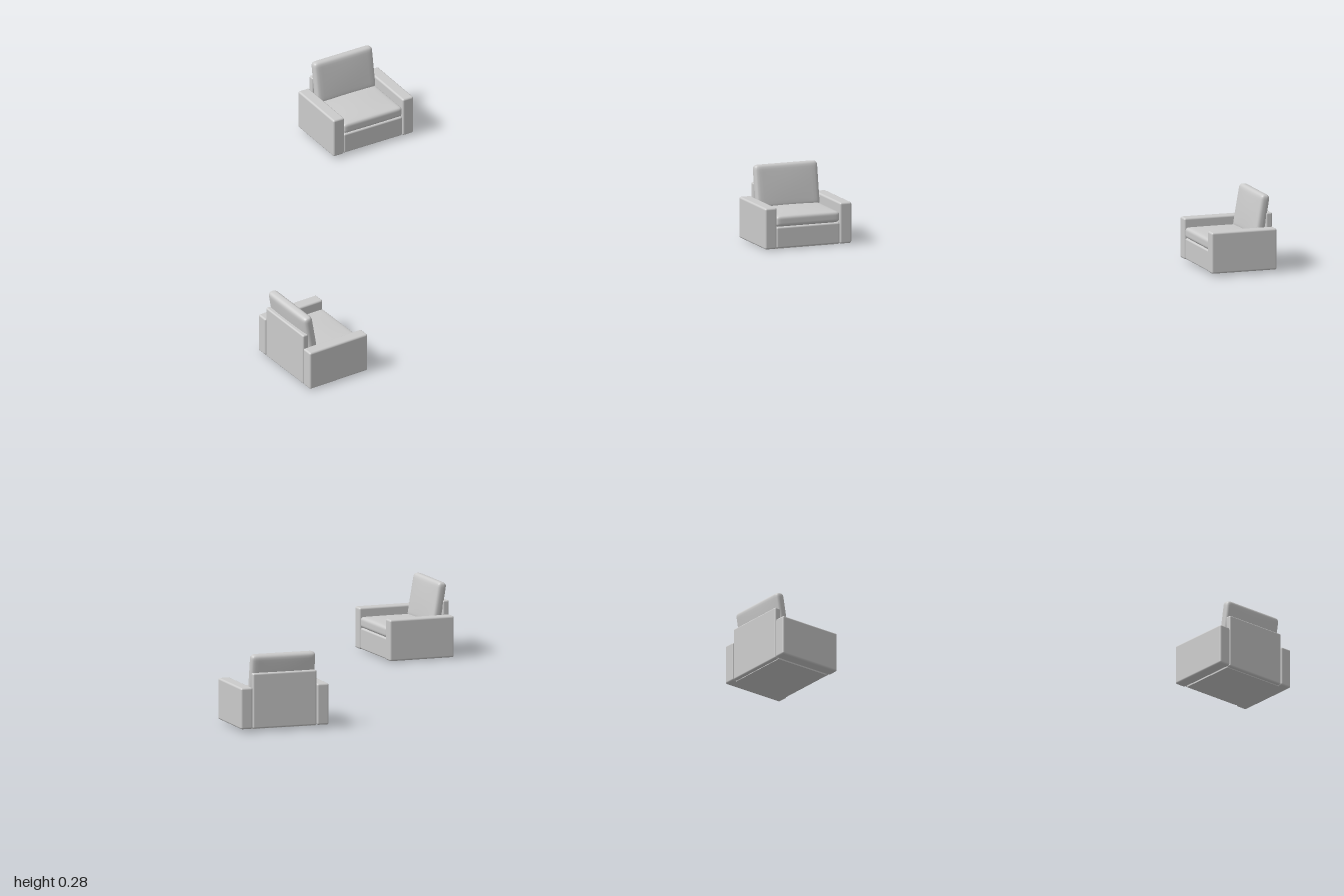
import * as THREE from 'three';
import { RoundedBoxGeometry } from 'three/addons/geometries/RoundedBoxGeometry.js';
import { mergeVertices } from 'three/addons/utils/BufferGeometryUtils.js';

const material = new THREE.MeshStandardMaterial({ color: 0xcccccc });

const WIDTH = 0.34, DEPTH = 0.252, ARM = 0.046;
const INNER = WIDTH - 2 * ARM;

// Soft box with rounded edges; crown bulges the two broad faces along one axis
function cushionGeometry(size, radius, crown, axis) {
  const g = new THREE.BoxGeometry(2, 2, 2, 18, 18, 18);
  g.deleteAttribute('normal');
  g.deleteAttribute('uv');
  const pos = g.attributes.position;
  const half = new THREE.Vector3(...size).multiplyScalar(0.5);
  const inner = half.clone().subScalar(radius);
  const v = new THREE.Vector3(), core = new THREE.Vector3();
  for (let i = 0; i < pos.count; i++) {
    v.fromBufferAttribute(pos, i);
    const u = ['x', 'y', 'z'].map((k) => Math.sin((v[k] * Math.PI) / 2));
    v.set(...u).multiply(half);
    core.copy(v).clamp(inner.clone().negate(), inner);
    const out = v.clone().sub(core);
    if (out.lengthSq() > 1e-12) v.copy(core).add(out.setLength(radius));
    const [a, b] = [0, 1, 2].filter((k) => k !== axis);
    const bulge = crown * (1 - u[a] ** 2) * (1 - u[b] ** 2) * u[axis];
    v.setComponent(axis, v.getComponent(axis) + bulge);
    pos.setXYZ(i, v.x, v.y, v.z);
  }
  const merged = mergeVertices(g, 1e-5);
  merged.computeVertexNormals();
  return merged;
}

function part(parent, name, geometry, x, y, z) {
  const mesh = new THREE.Mesh(geometry, material);
  mesh.name = name;
  mesh.position.set(x, y, z);
  parent.add(mesh);
  return mesh;
}

function createArmchair(name) {
  const chair = new THREE.Group();
  chair.name = name;

  // Slab arms, full depth
  for (const [side, s] of [['left', 1], ['right', -1]]) {
    part(chair, side + 'Arm', new RoundedBoxGeometry(ARM, 0.152, DEPTH, 4, 0.007),
      s * (WIDTH - ARM) / 2, 0.076, 0);
  }

  // Base under the seat with its padded front rail
  part(chair, 'base', new THREE.BoxGeometry(INNER, 0.082, DEPTH - 0.03), 0, 0.0385, 0);
  part(chair, 'frontRail', new RoundedBoxGeometry(INNER, 0.078, 0.03, 4, 0.006), 0, 0.04, 0.108);

  // Upright panel behind the cushion
  part(chair, 'backPanel', new RoundedBoxGeometry(INNER - 0.002, 0.203, 0.024, 4, 0.006), 0, 0.1015, -0.113);

  // Seat cushion, crowned on top
  part(chair, 'seatCushion', cushionGeometry([INNER, 0.04, 0.225], 0.012, 0.005, 1), 0, 0.1, 0.012);

  // Back cushion, leaning back
  const back = part(chair, 'backCushion', cushionGeometry([INNER, 0.164, 0.036], 0.015, 0.003, 2), 0, 0.189, -0.0875);
  back.rotation.x = -0.17;

  return chair;
}

export function createModel() {
  const model = new THREE.Group();
  model.name = 'armchairPair';

  const rear = createArmchair('rearArmchair');
  rear.position.set(-0.217, 0.01, -0.789);
  rear.rotation.y = THREE.MathUtils.degToRad(51.5);

  const front = createArmchair('frontArmchair');
  front.position.set(0.208, 0.003, 0.798);
  front.rotation.y = THREE.MathUtils.degToRad(144.1);

  model.add(rear, front);
  return model;
}
